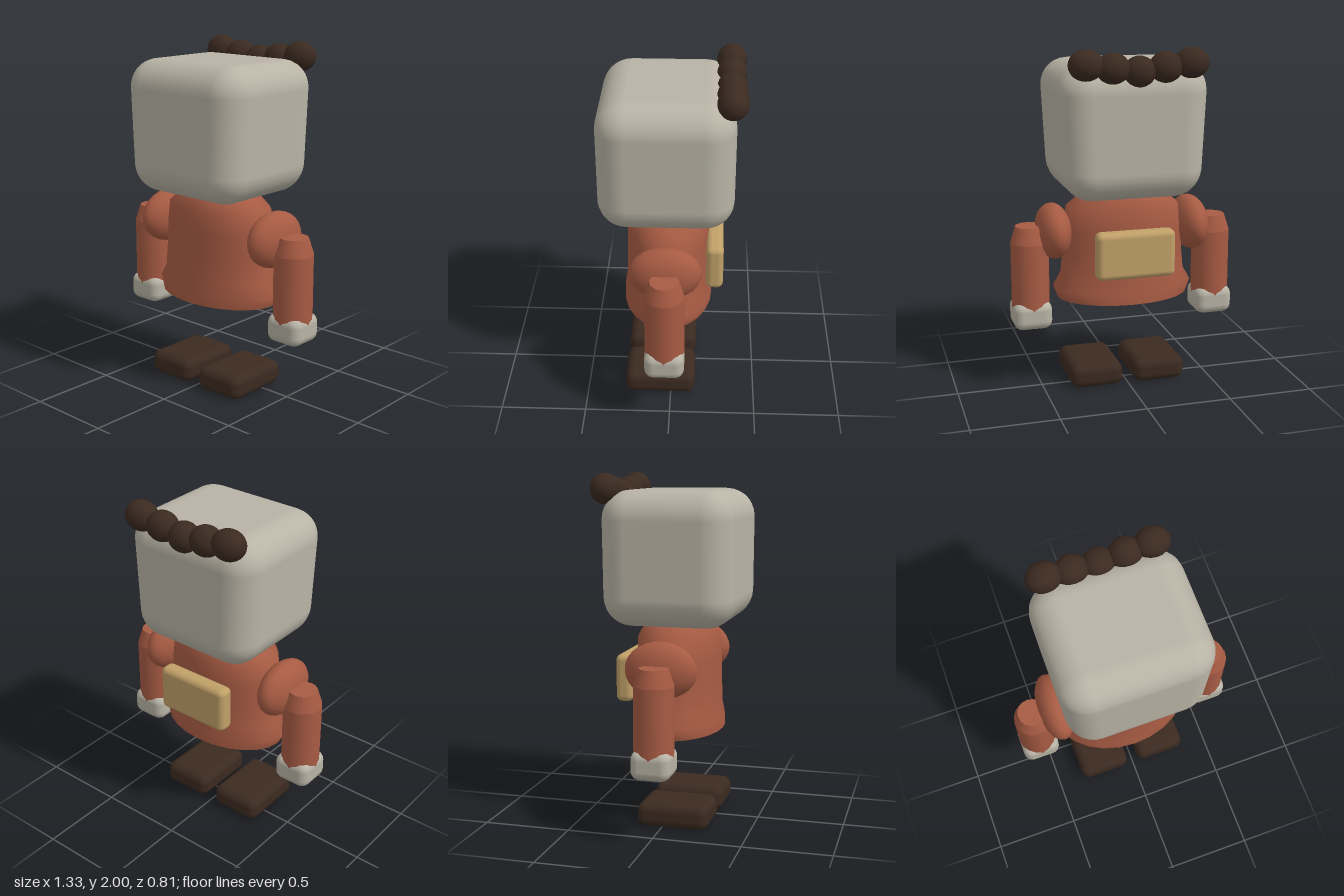
import * as THREE from 'three';
import { mergeVertices } from 'three/addons/utils/BufferGeometryUtils.js';
import { RoundedBoxGeometry } from 'three/addons/geometries/RoundedBoxGeometry.js';

function flat(name, color) {
  const m = new THREE.MeshStandardMaterial({ color });
  m.name = name;
  return m;
}

export function createModel() {
  const group = new THREE.Group();
  const skin = flat('warm grey', 0xb8b3a5);
  const cloth = flat('rust', 0xa75b43);
  const dark = flat('dark brown', 0x3b2a20);
  const tan = flat('tan', 0xc0a068);

  const add = (name, geo, mat, x, y, z) => {
    const mesh = new THREE.Mesh(geo, mat);
    mesh.name = name;
    mesh.position.set(x, y, z);
    group.add(mesh);
    return mesh;
  };

  // Head: rounded block, slightly narrower towards the chin
  const headGeo = new RoundedBoxGeometry(0.85, 0.76, 0.755, 4, 0.165);
  const hp = headGeo.attributes.position;
  for (let i = 0; i < hp.count; i++) {
    hp.setX(i, hp.getX(i) * (1 + (hp.getY(i) - 0.22) * 0.12));
  }
  add('head', headGeo, skin, 0, 1.53, 0.027);

  // Row of hair buns along the back top edge, dipping in the middle
  for (let i = -2; i <= 2; i++) {
    const bun = add('hairBun', new THREE.SphereGeometry(1, 20, 14), dark,
      i * 0.148, 1.875 + 0.02 * Math.abs(i), -0.325);
    bun.scale.set(0.09 + 0.004 * Math.abs(i), 0.085, 0.084);
  }

  // Torso: stacked ellipses [y, half width, half depth]
  const rows = [
    [0.53, 0.39, 0.26], [0.595, 0.415, 0.256], [0.67, 0.372, 0.244], [0.8, 0.36, 0.24],
    [0.95, 0.352, 0.238], [1.07, 0.335, 0.236], [1.15, 0.23, 0.196], [1.2, 0.16, 0.14],
  ];
  let torsoGeo = new THREE.LatheGeometry(rows.map(([y, w]) => new THREE.Vector2(w, y)), 24);
  const tp = torsoGeo.attributes.position;
  for (let i = 0; i < tp.count; i++) {
    const [, w, d] = rows[i % rows.length];
    tp.setZ(i, tp.getZ(i) * d / w);
  }
  torsoGeo.deleteAttribute('uv');
  torsoGeo.deleteAttribute('normal');
  torsoGeo = mergeVertices(torsoGeo);
  torsoGeo.computeVertexNormals();
  add('torso', torsoGeo, cloth, 0, 0, 0.025);

  // Flat underside of the torso
  const under = add('torsoUnderside', new THREE.CircleGeometry(1, 24), cloth, 0, 0.53, 0.025);
  under.scale.set(0.39, 0.26, 1);
  under.rotation.x = Math.PI / 2;

  // Backpack
  add('backpack', new RoundedBoxGeometry(0.46, 0.275, 0.1, 3, 0.035), tan, 0, 0.838, -0.25);

  // Arms, hands and shoes on both sides
  for (const s of [1, -1]) {
    const side = s > 0 ? 'left' : 'right';
    const shoulder = add(side + 'Shoulder', new THREE.SphereGeometry(1, 20, 14), cloth, s * 0.415, 0.936, 0.025);
    shoulder.scale.set(0.102, 0.16, 0.206);

    add(side + 'Arm', new THREE.CylinderGeometry(0.112, 0.112, 0.41, 16), cloth, s * 0.553, 0.675, 0.025);
    add(side + 'ArmTop', new THREE.CylinderGeometry(0.082, 0.112, 0.095, 16), cloth, s * 0.553, 0.9275, 0.025);
    add(side + 'Hand', new RoundedBoxGeometry(0.225, 0.165, 0.225, 3, 0.052), skin, s * 0.553, 0.4525, 0.025);
    add(side + 'Shoe', new RoundedBoxGeometry(0.31, 0.14, 0.415, 3, 0.05), dark, s * 0.19, 0.07, 0.0625);
  }
  return group;
}
